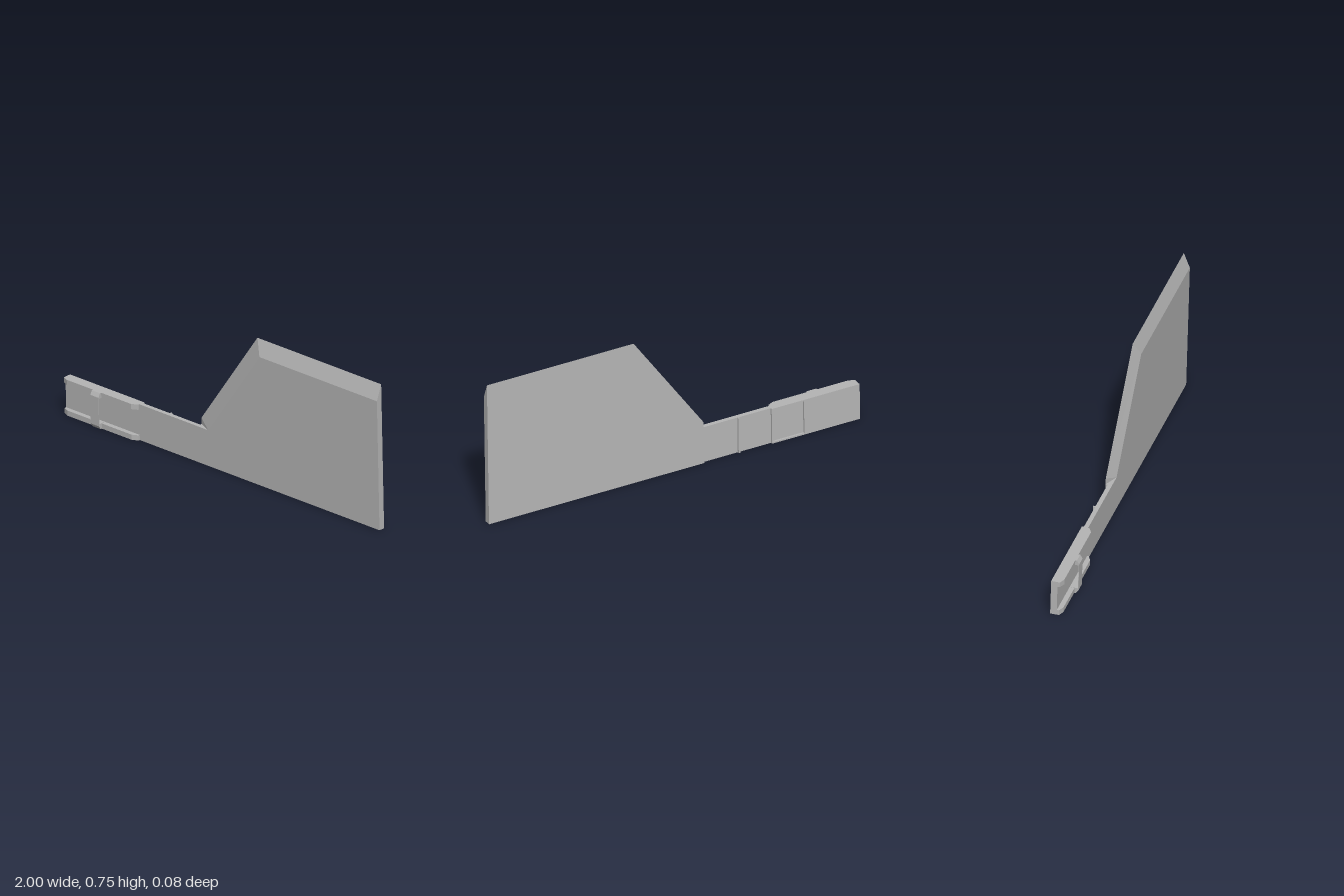
import * as THREE from 'three';

export function createModel() {
  const group = new THREE.Group();
  const steel = new THREE.MeshStandardMaterial({ color: 0xb4b4b4 });
  steel.name = 'grey steel';

  // Every part leans slightly forward with height
  const lean = new THREE.Matrix4().set(1, 0, 0, 0, 0, 1, 0, 0, 0, 0.027, 1, 0, 0, 0, 0, 1);
  function add(name, geometry) {
    const flat = geometry.index ? geometry.toNonIndexed() : geometry;
    flat.applyMatrix4(lean);
    flat.computeVertexNormals();
    const mesh = new THREE.Mesh(flat, steel);
    mesh.name = name;
    group.add(mesh);
  }
  function box(name, x0, x1, y0, y1, z0, z1) {
    const g = new THREE.BoxGeometry(x1 - x0, y1 - y0, z1 - z0);
    add(name, g.translate((x0 + x1) / 2, (y0 + y1) / 2, (z0 + z1) / 2));
  }
  function extrude(points, depth) {
    const shape = new THREE.Shape(points.map(p => new THREE.Vector2(...p)));
    return new THREE.ExtrudeGeometry(shape, { depth, bevelEnabled: false });
  }

  const FRONT = -0.008, BACK = -0.04, TOP = 0.187;

  // Blade: a loft from a smaller front outline to the full back outline
  const front = [[-0.16, 0], [1, 0], [1, 0.672], [0.25, 0.672], [-0.09, TOP], [-0.16, TOP]];
  const back = [[-0.16, 0], [1, 0], [1, 0.75], [0.21, 0.75], [-0.16, 0.22], [-0.16, TOP]];
  const n = front.length;
  const positions = [...front.flatMap(p => [...p, FRONT]), ...back.flatMap(p => [...p, BACK])];
  const faces = [];
  const triangulate = loop =>
    THREE.ShapeUtils.triangulateShape(loop.map(p => new THREE.Vector2(...p)), []);
  triangulate(front).forEach(([a, b, c]) => faces.push(a, b, c));
  triangulate(back).forEach(([a, b, c]) => faces.push(n + a, n + c, n + b));
  for (let i = 0; i < n; i++) {
    const j = (i + 1) % n;
    faces.push(i, n + i, n + j, i, n + j, j);
  }
  const blade = new THREE.BufferGeometry();
  blade.setAttribute('position', new THREE.Float32BufferAttribute(positions, 3));
  blade.setIndex(faces);
  add('blade', blade);

  // Handle: thin tang, thicker butt and raised ribs on the back
  box('tang', -0.7, -0.16, 0, TOP, -0.03, FRONT);
  box('butt', -1, -0.7, 0, TOP, BACK, FRONT);
  for (const x of [-0.53, -0.35]) box('backRib', x - 0.004, x + 0.004, 0, TOP, BACK, -0.03);
  for (const y of [0, TOP - 0.008]) box('backLip', -0.7, -0.53, y, y + 0.008, BACK, -0.03);

  // Grip rails with tapered ends along both edges
  const railPlan = [[-1, -FRONT], [-0.53, -FRONT], [-0.53, 0], [-0.56, -0.016], [-0.97, -0.016], [-1, -0.003]];
  for (const y of [0, TOP - 0.027]) {
    const rail = extrude(railPlan.slice().reverse(), 0.027);
    rail.rotateX(-Math.PI / 2).translate(0, y, 0);
    add('gripRail', rail);
  }

  // Strap bridging the two rails
  const strapProfile = [
    [0, 0], [0.024, 0], [0.036, 0.018], [0.036, 0.167], [0.024, TOP], [0, TOP],
    [0, 0.16], [0.033, 0.16], [0.033, 0.029], [0, 0.029],
  ];
  const strap = extrude(strapProfile.map(([z, y]) => [-z, y]), 0.052);
  strap.rotateY(Math.PI / 2).translate(-0.802, 0, 0);
  add('strap', strap);

  return group;
}
